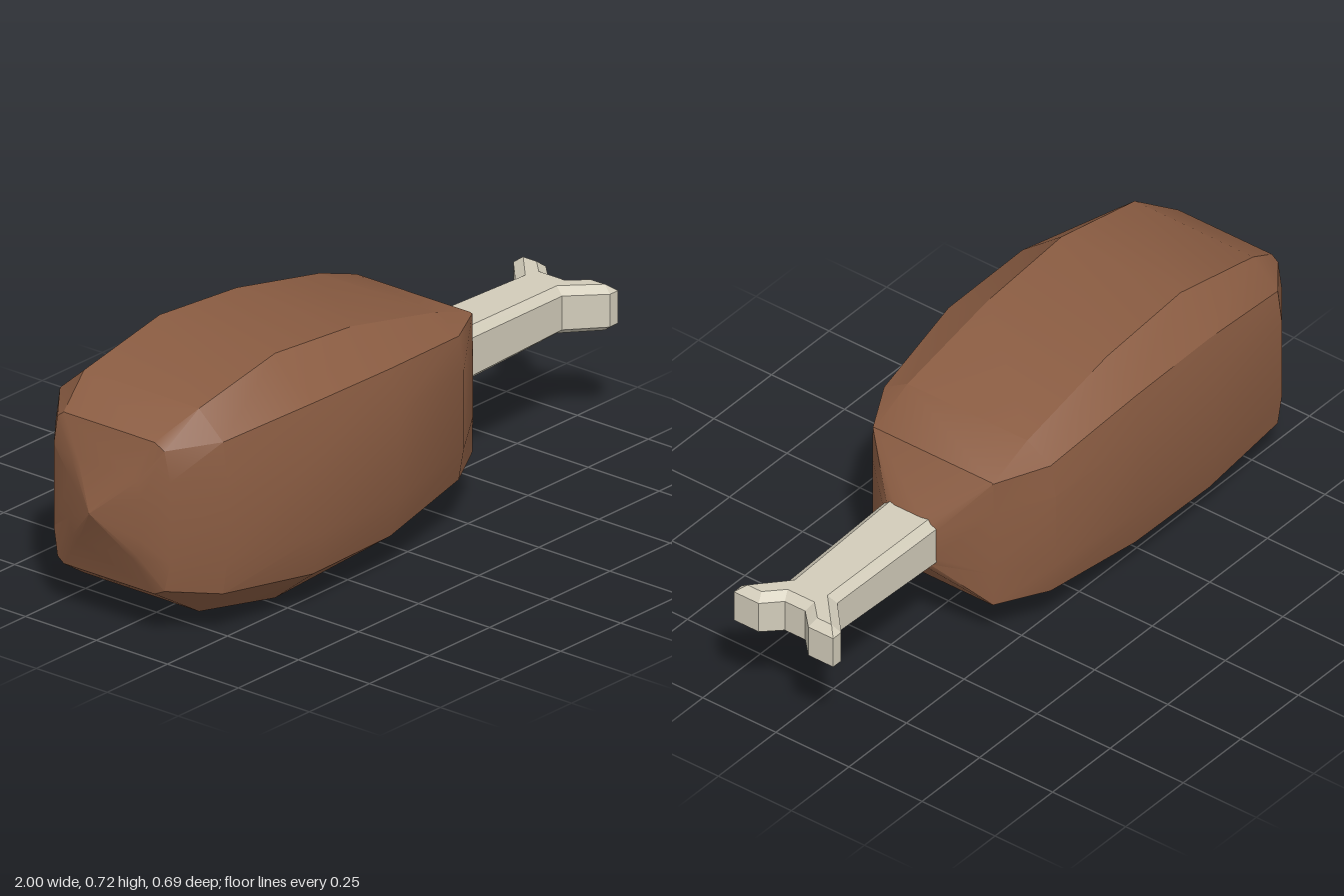
import * as THREE from 'three';
import { mergeVertices, toCreasedNormals } from 'three/addons/utils/BufferGeometryUtils.js';

const CY = 0.3625; // height of the long axis
const CZ = -0.026; // depth of the long axis

// Sections along x: heights above the axis (flat top, chamfer corner, side),
// then the z of those same points on the front and on the back.
const SECTIONS = [
  { x: -0.935, h: [0.12, 0.11, 0.06], f: [0.07, 0.09, 0.1], b: [-0.12, -0.14, -0.15] },
  { x: -0.9, h: [0.222, 0.205, 0.12], f: [0.12, 0.155, 0.175], b: [-0.2, -0.222, -0.235] },
  { x: -0.78, h: [0.297, 0.222, 0.12], f: [0.175, 0.26, 0.275], b: [-0.23, -0.315, -0.33] },
  { x: -0.47, h: [0.358, 0.25, 0.125], f: [0.18, 0.315, 0.345], b: [-0.226, -0.325, -0.348] },
  { x: -0.15, h: [0.332, 0.245, 0.125], f: [0.18, 0.315, 0.345], b: [-0.226, -0.325, -0.348] },
  { x: 0.2, h: [0.258, 0.21, 0.115], f: [0.18, 0.26, 0.278], b: [-0.23, -0.31, -0.328] },
  { x: 0.353, h: [0.205, 0.203, 0.1], f: [0.17, 0.178, 0.18], b: [-0.23, -0.234, -0.236] },
  { x: 0.46, h: [0.078, 0.065, 0.04], f: [0.02, 0.045, 0.055], b: [-0.07, -0.1, -0.11] },
];

// Twelve-sided ring: down the front, then up the back
function ring({ x, h, f, b }) {
  const half = (z, s) => [0, 1, 2].map((i) => [x, CY + s * h[i], z[i]]);
  return [...half(f, 1), ...half(f, -1).reverse(), ...half(b, -1), ...half(b, 1).reverse()];
}

function meatGeometry() {
  const n = 12;
  const points = SECTIONS.flatMap(ring);
  const tip = points.push([-1, CY + 0.005, CZ]) - 1;
  const end = points.push([0.46, CY, CZ]) - 1;
  const last = (SECTIONS.length - 1) * n;
  const index = [];
  for (let i = 0; i < n; i++) {
    const j = (i + 1) % n;
    index.push(tip, j, i, end, last + i, last + j);
    for (let r = 0; r < last; r += n) {
      index.push(r + i, r + j, r + n + i, r + j, r + n + j, r + n + i);
    }
  }
  const geo = new THREE.BufferGeometry();
  geo.setAttribute('position', new THREE.Float32BufferAttribute(points.flat(), 3));
  geo.setIndex(index);
  return toCreasedNormals(mergeVertices(geo), 0.52);
}

function boneGeometry() {
  // Half outline from the shaft to the forked knuckle, mirrored across the axis
  const half = [[0.42, 0.092], [0.87, 0.082], [0.965, 0.17], [1, 0.17], [1, 0.085], [0.95, 0.035]];
  const outline = [...half, ...half.map(([x, z]) => [x, -z]).reverse()];
  const shape = new THREE.Shape(outline.map(([x, z]) => new THREE.Vector2(x, z)));
  const geo = new THREE.ExtrudeGeometry(shape, {
    depth: 0.108, bevelEnabled: true, bevelSegments: 1,
    bevelThickness: 0.022, bevelSize: 0.026, bevelOffset: -0.026,
  });
  geo.translate(0, 0, -0.054);
  geo.rotateX(Math.PI / 2);
  // Slight taper in height towards the knuckle
  const p = geo.attributes.position;
  for (let i = 0; i < p.count; i++) {
    p.setY(i, p.getY(i) * THREE.MathUtils.mapLinear(p.getX(i), 0.46, 1, 1.03, 0.88));
  }
  geo.translate(0, CY, CZ);
  geo.computeVertexNormals();
  return geo;
}

export function createModel() {
  const group = new THREE.Group();
  group.name = 'drumstick';

  const meat = new THREE.Mesh(meatGeometry(), new THREE.MeshStandardMaterial({ color: 0x8a5c42 }));
  meat.name = 'meat';

  const bone = new THREE.Mesh(
    boneGeometry(),
    new THREE.MeshStandardMaterial({ color: 0xd2ccba, flatShading: true }),
  );
  bone.name = 'bone';

  group.add(meat, bone);
  return group;
}
